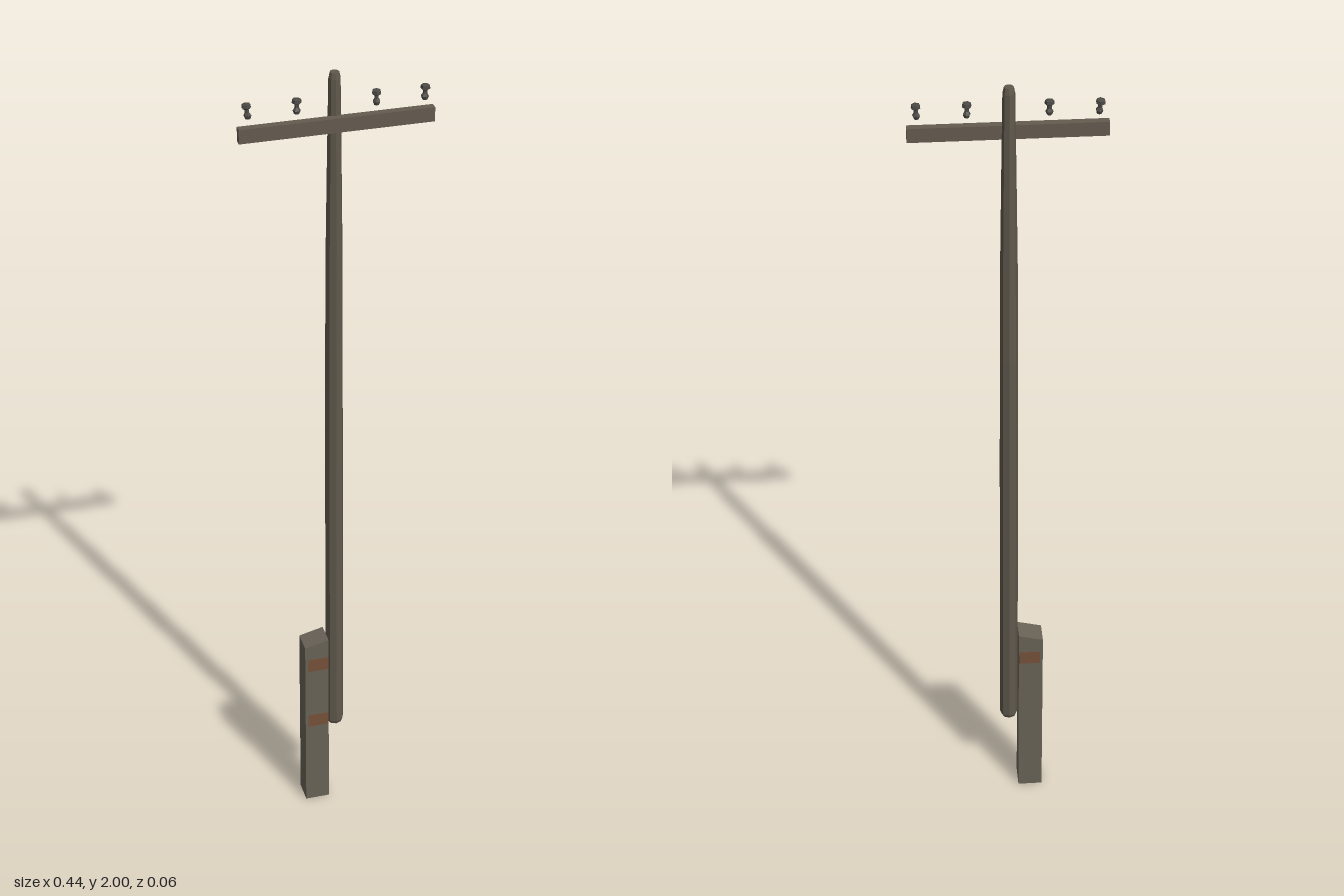
import * as THREE from 'three';

const wood = new THREE.MeshStandardMaterial({ name: 'weatheredWood', color: 0x5f584c });
const armWood = new THREE.MeshStandardMaterial({ name: 'crossarmWood', color: 0x655b50 });
const concrete = new THREE.MeshStandardMaterial({ name: 'agedConcrete', color: 0x686256 });
const rust = new THREE.MeshStandardMaterial({ name: 'rust', color: 0x75503a });
const ceramic = new THREE.MeshStandardMaterial({ name: 'darkCeramic', color: 0x4d4b46 });

// Facet a geometry so every face is flat
function faceted(geometry) {
  const flat = geometry.index ? geometry.toNonIndexed() : geometry;
  flat.computeVertexNormals();
  return flat;
}

function add(parent, name, geometry, material, x = 0, y = 0, z = 0) {
  const mesh = new THREE.Mesh(geometry, material);
  mesh.name = name;
  mesh.position.set(x, y, z);
  parent.add(mesh);
  return mesh;
}

const lathe = (points, sides) =>
  new THREE.LatheGeometry(points.map(([r, y]) => new THREE.Vector2(r, y)), sides);

export function createModel() {
  const model = new THREE.Group();
  model.name = 'utilityPole';

  // Tapered eight-sided pole, bowed slightly backwards
  const poleGeo = lathe([
    [0, 0.22], [0.018, 0.22], [0.022, 0.23], [0.022, 1.0], [0.021, 1.3],
    [0.02, 1.55], [0.017, 1.78], [0.014, 1.985], [0.011, 2], [0, 2],
  ], 8);
  const pos = poleGeo.attributes.position;
  for (let i = 0; i < pos.count; i++) {
    const t = (pos.getY(i) - 0.22) / 1.78;
    pos.setZ(i, pos.getZ(i) - 0.003 - 0.005 * Math.sin(Math.PI * t));
  }
  add(model, 'pole', faceted(poleGeo), wood);

  // Square footing post with a sloping top
  const post = new THREE.Group();
  post.name = 'footingPost';
  model.add(post);
  const side = new THREE.Shape([
    new THREE.Vector2(-0.083, 0), new THREE.Vector2(-0.023, 0),
    new THREE.Vector2(-0.023, 0.495), new THREE.Vector2(-0.083, 0.48),
  ]);
  const postGeo = new THREE.ExtrudeGeometry(side, { depth: 0.057, bevelEnabled: false });
  add(post, 'post', postGeo, concrete, 0, 0, -0.031);

  // Rust patches on the post
  const patch = new THREE.BoxGeometry(0.052, 0.036, 0.002);
  add(post, 'upperFrontRust', patch, rust, -0.05, 0.425, 0.026);
  add(post, 'lowerFrontRust', patch, rust, -0.05, 0.252, 0.026);
  add(post, 'backRust', patch, rust, -0.05, 0.425, -0.031);

  // Crossarm on the front of the pole
  add(model, 'crossarm', new THREE.BoxGeometry(0.444, 0.034, 0.018), armWood, 0, 1.884, 0.016);

  // Spool-shaped six-sided insulators, each leaning a little
  const spool = faceted(lathe([
    [0, -0.018], [0.006, -0.018], [0.009, -0.01], [0.005, -0.003],
    [0.005, 0.004], [0.011, 0.008], [0.01, 0.016], [0, 0.018],
  ], 6));
  [[-0.2, 0.012, 0.1], [-0.09, 0.016, 0], [0.09, 0.016, 0], [0.2, 0.018, -0.1]].forEach(([x, z, lean], i) => {
    const insulator = add(model, `insulator${i + 1}`, spool, ceramic, x, 1.938, z);
    insulator.rotation.set(-lean, i * 0.4, lean);
  });

  return model;
}
